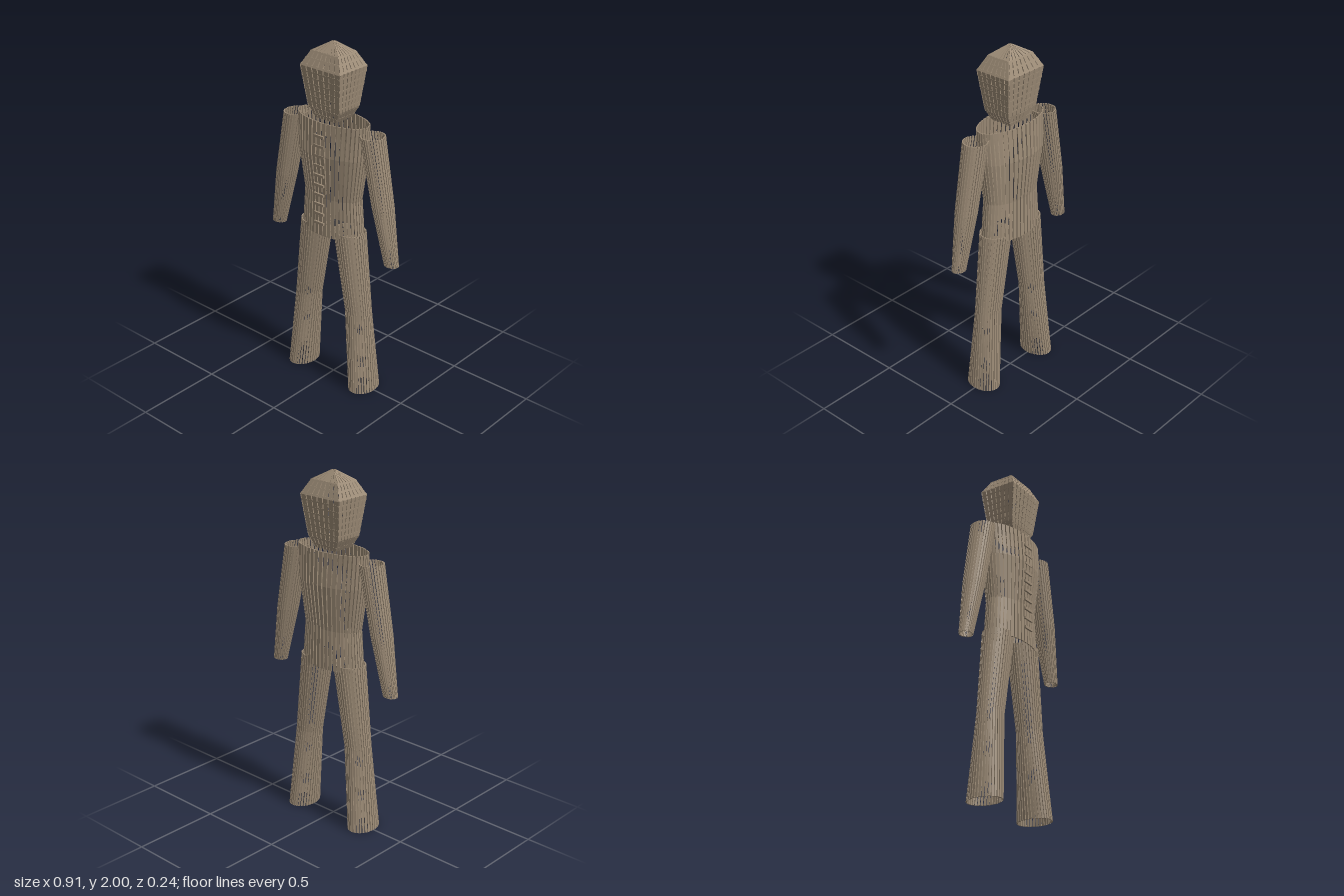
import * as THREE from 'three';

const straw = new THREE.MeshStandardMaterial({ color: 0x9c8b76, side: THREE.DoubleSide });
straw.name = 'straw';

const THICK = 0.007;

// Unit cross-sections, t in 0..1
const oval = t => [Math.cos(t * 2 * Math.PI), Math.sin(t * 2 * Math.PI)];
function square(t) {
  const s = (t % 1) * 4, k = Math.floor(s), f = 2 * (s - k) - 1;
  return [[1, f], [-f, 1], [-1, -f], [f, -1]][k];
}

// Open basket of upright slats. Rings run from low to high: [y, centreX, radiusX, radiusZ]
function basket(name, rings, count, cover, section) {
  const positions = [];
  const point = (ring, t, inset) => {
    const [y, cx, rx, rz] = ring, [u, v] = section(t);
    return [cx + u * Math.max(rx - inset, 0.003), y, v * Math.max(rz - inset, 0.003)];
  };
  const quad = (a, b, c, d) => positions.push(...a, ...b, ...c, ...a, ...c, ...d);
  for (let i = 0; i < count; i++) {
    const t0 = i / count, t1 = (i + cover) / count - 1e-6;
    for (let j = 0; j < rings.length - 1; j++) {
      const corners = [[rings[j], t0], [rings[j], t1], [rings[j + 1], t1], [rings[j + 1], t0]];
      const [A, B, C, D] = corners.map(([r, t]) => point(r, t, 0));
      const [a, b, c, d] = corners.map(([r, t]) => point(r, t, THICK));
      quad(A, D, C, B);
      quad(a, b, c, d);
      quad(A, a, d, D);
      quad(B, C, c, b);
      if (j === 0) quad(A, B, b, a);
      if (j === rings.length - 2) quad(D, d, c, C);
    }
  }
  const geo = new THREE.BufferGeometry();
  geo.setAttribute('position', new THREE.Float32BufferAttribute(positions, 3));
  geo.computeVertexNormals();
  const mesh = new THREE.Mesh(geo, straw);
  mesh.name = name;
  return mesh;
}

// Ring of a profile at a given height
function ringAt(rings, y, grow) {
  const j = Math.max(1, rings.findIndex(r => r[0] >= y));
  const [a, b] = [rings[j - 1], rings[j]], f = (y - a[0]) / (b[0] - a[0]);
  const r = a.map((v, i) => v + (b[i] - v) * f);
  return [y, r[1], r[2] + grow, r[3] + grow];
}

export function createModel() {
  const model = new THREE.Group();
  model.name = 'wickerFigure';

  // Torso
  model.add(basket('torso', [
    [0.925, 0, 0.205, 0.105], [1.15, 0, 0.187, 0.1],
    [1.4, 0, 0.224, 0.122], [1.585, 0, 0.235, 0.11],
  ], 45, 0.74, oval));

  // Arms and legs, mirrored
  for (const s of [1, -1]) {
    const side = s > 0 ? 'left' : 'right';
    model.add(basket(side + 'Arm', [
      [0.845, s * 0.41, 0.043, 0.036], [1.17, s * 0.345, 0.06, 0.062], [1.55, s * 0.268, 0.067, 0.07],
    ], 29, 0.74, oval));
    model.add(basket(side + 'Leg', [
      [0, s * 0.229, 0.077, 0.102], [0.48, s * 0.184, 0.079, 0.07], [0.955, s * 0.118, 0.096, 0.083],
    ], 35, 0.74, oval));
  }

  // Head: square basket with a pointed roof
  const head = [
    [1.585, 0, 0.072, 0.066], [1.65, 0, 0.108, 0.082], [1.87, 0, 0.136, 0.109],
    [1.95, 0, 0.092, 0.07], [2, 0, 0.008, 0.008],
  ];
  model.add(basket('head', head, 28, 0.82, square));

  // Woven bands round the head
  for (let i = 0; i < 11; i++) {
    const y = 1.605 + i * 0.034;
    const rings = [y - 0.004, y + 0.004].map(h => ringAt(head, h, 0.001));
    model.add(basket('headBand', rings, 4, 1, square));
  }

  // Row of rungs down the chest
  const rung = new THREE.BoxGeometry(0.068, 0.014, 0.01);
  for (let i = 0; i < 10; i++) {
    const bar = new THREE.Mesh(rung, straw);
    bar.name = 'chestRung';
    bar.position.set(0, 1.005 + i * 0.056, 0.118);
    model.add(bar);
  }
  return model;
}
